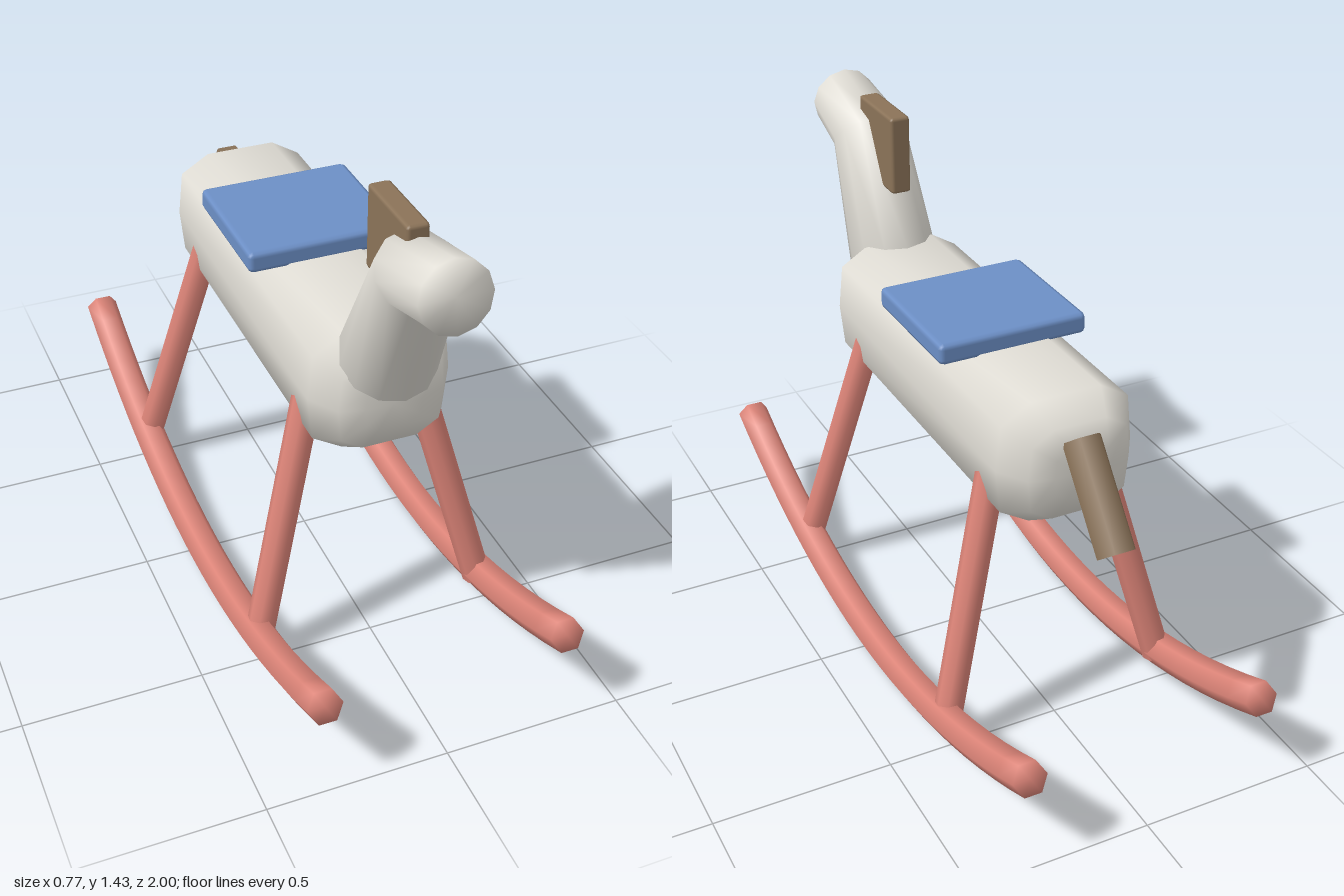
import * as THREE from 'three';
import { RoundedBoxGeometry } from 'three/addons/geometries/RoundedBoxGeometry.js';

// Sweeps a 2D profile through stations [z, y, tangentZ, tangentY, scaleX, scaleY] with capped ends.
function sweep(profile, stations) {
  const pos = [], idx = [], n = profile.length;
  for (const [z, y, tz, ty, sx, sy] of stations) {
    const l = Math.hypot(tz, ty);
    for (const [u, v] of profile) pos.push(u * sx, y + (v * sy * tz) / l, z - (v * sy * ty) / l);
  }
  const last = stations.length - 1;
  for (let i = 0; i < last; i++) {
    for (let j = 0; j < n; j++) {
      const a = i * n + j, b = i * n + ((j + 1) % n);
      idx.push(a, b, a + n, b, b + n, a + n);
    }
  }
  const c = pos.length / 3;
  pos.push(0, stations[0][1], stations[0][0], 0, stations[last][1], stations[last][0]);
  for (let j = 0; j < n; j++) {
    const k = (j + 1) % n;
    idx.push(c, k, j, c + 1, last * n + j, last * n + k);
  }
  const g = new THREE.BufferGeometry();
  g.setAttribute('position', new THREE.Float32BufferAttribute(pos, 3));
  g.setIndex(idx);
  g.computeVertexNormals();
  return g;
}

const polygon = (n) => Array.from({ length: n }, (_, i) => {
  const a = (i / n) * Math.PI * 2;
  return [Math.cos(a), Math.sin(a)];
});

export function createModel() {
  const model = new THREE.Group();
  const material = (name, color) => {
    const m = new THREE.MeshStandardMaterial({ color });
    m.name = name;
    return m;
  };
  const white = material('warm white', 0xe0ddd5);
  const coral = material('coral', 0xdc8478);
  const blue = material('blue', 0x6c8fc6);
  const brown = material('brown', 0x8b7358);

  const add = (name, geometry, mat) => {
    const mesh = new THREE.Mesh(geometry, mat);
    mesh.name = name;
    model.add(mesh);
    return mesh;
  };
  // Straight bar between two points
  const bar = (name, from, to, radius, sides, mat) => {
    const a = new THREE.Vector3(...from), b = new THREE.Vector3(...to);
    const d = b.clone().sub(a);
    const g = new THREE.CylinderGeometry(radius, radius, d.length(), sides, 1, false, Math.PI / 2);
    const mesh = add(name, g, mat);
    mesh.position.copy(a).add(b).multiplyScalar(0.5);
    mesh.quaternion.setFromUnitVectors(new THREE.Vector3(0, 1, 0), d.normalize());
  };

  // Body: rounded barrel with softened ends
  const barrel = [
    [0.195, 0], [0.182, 0.125], [0.1, 0.175], [-0.1, 0.175], [-0.182, 0.125],
    [-0.195, 0], [-0.182, -0.125], [-0.1, -0.175], [0.1, -0.175], [0.182, -0.125],
  ];
  const half = [[0.51, 1], [0.588, 0.74], [0.607, 0.4]];
  const ends = [...half.map(([z, s]) => [-z, s]).reverse(), ...half];
  add('body', sweep(barrel, ends.map(([z, s]) => [z, 0.855, 1, 0, s, s])), white);

  // Neck and head: one bent, tapering tube
  add('neckAndHead', sweep(polygon(12), [
    [0.555, 0.965, 0.452, 0.892, 0.13, 0.13],
    [0.71, 1.298, 0.67, 0.74, 0.11, 0.108],
    [0.903, 1.343, 0.98, 0.186, 0.095, 0.094],
  ]), white);

  // Mane, saddle and tail
  add('mane', new RoundedBoxGeometry(0.06, 0.23, 0.23, 1, 0.01), brown).position.set(0, 1.305, 0.59);
  add('saddle', new RoundedBoxGeometry(0.43, 0.06, 0.39, 1, 0.015), blue).position.set(0, 1.05, -0.04);
  bar('tail', [0, 0.945, -0.595], [0, 0.715, -0.785], 0.055, 6, brown);

  // Rockers: hexagonal bars curved upward at both ends
  const stations = Array.from({ length: 25 }, (_, i) => {
    const t = i / 12 - 1;
    return [t * 0.982, 0.045 + 0.238 * t * t, 0.982, 0.476 * t, 0.048, 0.048];
  });
  const rocker = sweep(polygon(6), stations);

  for (const [side, s] of [['left', 1], ['right', -1]]) {
    add(side + 'Rocker', rocker, coral).position.x = 0.336 * s;
    // Splayed legs
    for (const [end, e] of [['Front', 1], ['Back', -1]]) {
      bar(side + end + 'Leg', [0.145 * s, 0.81, 0.395 * e], [0.33 * s, 0.09, 0.495 * e], 0.04, 8, coral);
    }
  }
  return model;
}
